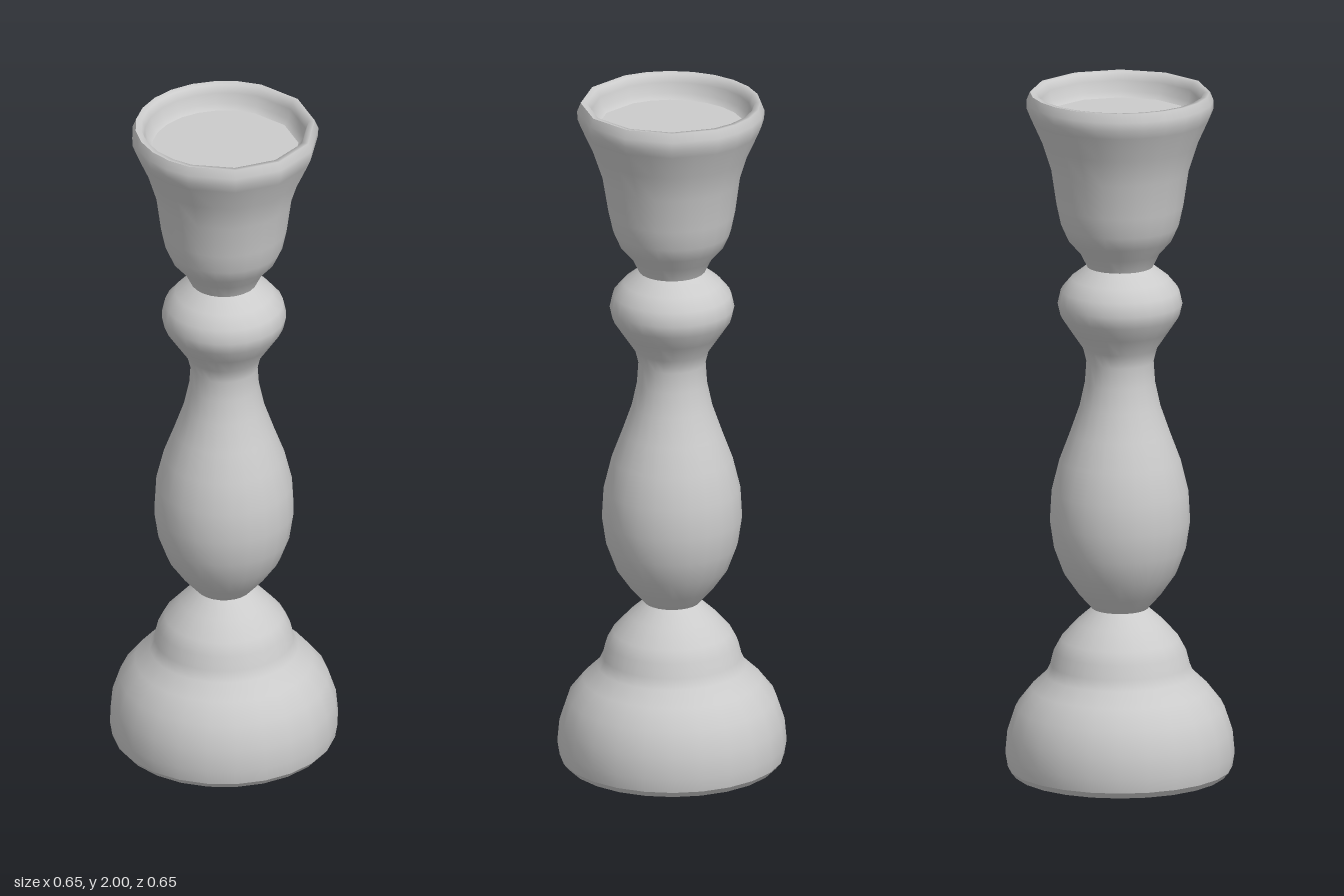
import * as THREE from 'three';

const SIDES = 24;

// Lathed part from [radius, height] pairs, listed from the bottom outwards and up
function turned(name, points, material) {
  const profile = points.map(([r, y]) => new THREE.Vector2(r, y));
  const mesh = new THREE.Mesh(new THREE.LatheGeometry(profile, SIDES), material);
  mesh.name = name;
  return mesh;
}

// Coarser facets on the +x half of the cup: every second corner sits on the chord
function coarsen(mesh) {
  const p = mesh.geometry.attributes.position;
  const rows = p.count / (SIDES + 1);
  const k = Math.cos(Math.PI / 12);
  for (let i = 0; i <= SIDES; i++) {
    for (let j = 0; j < rows; j++) {
      const v = i * rows + j;
      const blend = THREE.MathUtils.smoothstep(p.getY(v), 1.6, 1.9);
      const f = i % 2 === 1 && i < SIDES / 2 ? 1 - (1 - k) * blend : 1;
      p.setXYZ(v, p.getX(v) * f + 0.004 * blend, p.getY(v), p.getZ(v) * f);
    }
  }
}

export function createModel() {
  const group = new THREE.Group();
  group.name = 'candlestick';
  const material = new THREE.MeshStandardMaterial({ color: 0xcccccc });

  // Flat underside and its small bevel
  group.add(turned('underside', [[0, 0], [0.305, 0]], material));
  group.add(turned('footBevel', [[0.305, 0], [0.32, 0.018]], material));

  // Bell-shaped foot with a stepped shoulder
  group.add(turned('foot', [
    [0.32, 0.018], [0.327, 0.06], [0.321, 0.125], [0.298, 0.195], [0.255, 0.25],
    [0.213, 0.29], [0.199, 0.32], [0.189, 0.36], [0.17, 0.395], [0.125, 0.445], [0.08, 0.485],
  ], material));

  // Pear-shaped stem rising to a slim neck, then the round knop
  group.add(turned('stem', [
    [0.08, 0.485], [0.12, 0.53], [0.162, 0.59], [0.188, 0.66], [0.2, 0.74], [0.195, 0.83],
    [0.173, 0.92], [0.143, 1.0], [0.115, 1.08], [0.1, 1.15], [0.096, 1.21], [0.106, 1.25],
    [0.14, 1.3], [0.17, 1.345], [0.178, 1.38], [0.169, 1.42], [0.14, 1.455], [0.095, 1.49],
  ], material));

  // Flared cup, its rim and the shallow recess
  const cup = turned('cup', [
    [0.095, 1.49], [0.115, 1.53], [0.15, 1.57], [0.168, 1.61], [0.181, 1.67], [0.196, 1.77],
    [0.222, 1.85], [0.256, 1.925], [0.266, 1.95], [0.267, 1.975], [0.257, 2.0],
  ], material);
  const rim = turned('rim', [
    [0.257, 2.0], [0.24, 1.998], [0.231, 1.975], [0.225, 1.945], [0.21, 1.93],
  ], material);
  const floor = turned('cupFloor', [[0.21, 1.93], [0, 1.93]], material);
  for (const part of [cup, rim, floor]) {
    coarsen(part);
    group.add(part);
  }

  return group;
}
